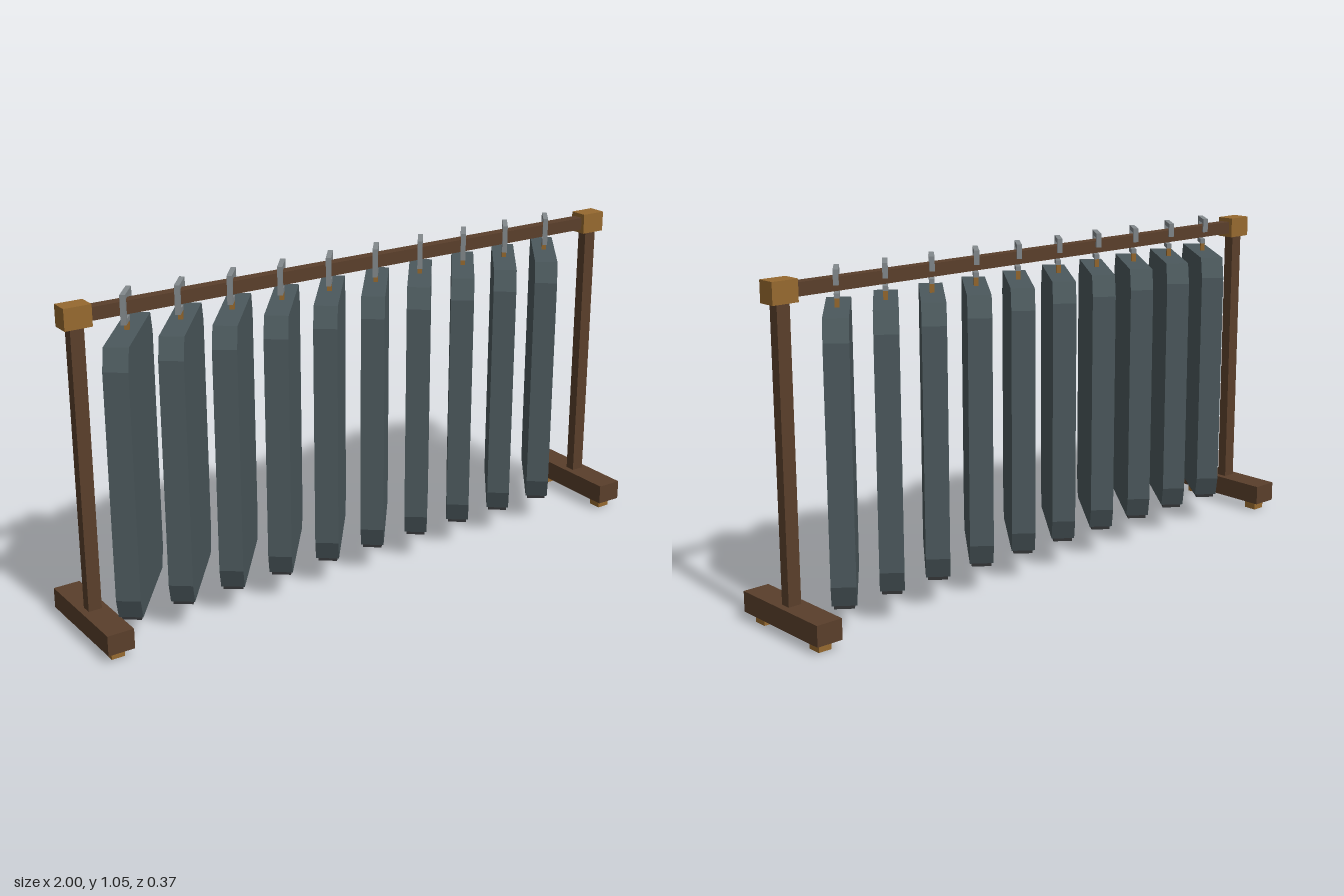
import * as THREE from 'three';

const material = (color) => new THREE.MeshStandardMaterial({ color, flatShading: true });

export function createModel() {
  const wood = material(0x5a3f2b);
  const brass = material(0x96692f);
  const cloth = material(0x4c595d);
  const hem = material(0x333436);
  const steel = material(0x83898c);

  const model = new THREE.Group();
  model.name = 'garmentRack';

  // Box helper: size and centre
  const box = (parent, name, mat, [w, h, d], [x, y, z]) => {
    const mesh = new THREE.Mesh(new THREE.BoxGeometry(w, h, d), mat);
    mesh.name = name;
    mesh.position.set(x, y, z);
    parent.add(mesh);
  };

  // Frame: rail, and a mirrored stand at each end
  box(model, 'rail', wood, [1.86, 0.04, 0.036], [0, 1.01, 0]);
  for (const side of [-1, 1]) {
    const stand = new THREE.Group();
    stand.name = side > 0 ? 'leftStand' : 'rightStand';
    stand.position.x = side * 0.957;
    box(stand, 'post', wood, [0.043, 0.9, 0.034], [0, 0.535, 0]);
    box(stand, 'cornerCap', brass, [0.086, 0.066, 0.06], [0, 1.01, 0]);
    box(stand, 'foot', wood, [0.086, 0.065, 0.37], [0, 0.0625, 0]);
    for (const z of [-0.137, 0.137])
      box(stand, 'footPad', brass, [0.043, 0.03, 0.045], [0, 0.015, z]);
    model.add(stand);
  }

  // Garment body: slab with clipped corners
  const halfW = 0.19, bottom = 0.103, top = 0.94, cutX = 0.025, cutY = 0.065, depth = 0.073;
  const outline = new THREE.Shape([
    [-halfW + cutX, bottom], [halfW - cutX, bottom],
    [halfW, bottom + cutY], [halfW, top - cutY],
    [halfW - cutX, top], [-halfW + cutX, top],
    [-halfW, top - cutY], [-halfW, bottom + cutY],
  ].map(([x, y]) => new THREE.Vector2(x, y)));
  const bodyGeometry = new THREE.ExtrudeGeometry(outline, { depth, bevelEnabled: false });
  bodyGeometry.translate(0, 0, -depth / 2);

  // Open hook that wraps over the rail
  const hookOutline = new THREE.Shape([
    [0.008, 0.966], [0.008, 0.981], [-0.031, 0.981], [-0.031, 1.04],
    [0.031, 1.04], [0.031, 1.01], [0.047, 1.01], [0.047, 1.055],
    [-0.047, 1.055], [-0.047, 0.966],
  ].map(([x, y]) => new THREE.Vector2(x, y)));
  const hookGeometry = new THREE.ExtrudeGeometry(hookOutline, { depth: 0.016, bevelEnabled: false });
  hookGeometry.translate(0, 0, -0.008);

  // Ten hanging garments, all turned the same way
  for (let i = 0; i < 10; i++) {
    const garment = new THREE.Group();
    garment.name = `garment${i + 1}`;
    garment.position.x = -0.795 + i * 0.1733;
    garment.rotation.y = THREE.MathUtils.degToRad(52.4);

    const body = new THREE.Mesh(bodyGeometry, cloth);
    body.name = 'garmentBody';
    const hook = new THREE.Mesh(hookGeometry, steel);
    hook.name = 'hook';
    garment.add(body, hook);

    box(garment, 'hem', hem, [0.316, 0.02, 0.06], [0, 0.101, 0]);
    box(garment, 'hookStem', brass, [0.014, 0.05, 0.014], [0, 0.953, 0]);
    model.add(garment);
  }

  return model;
}
